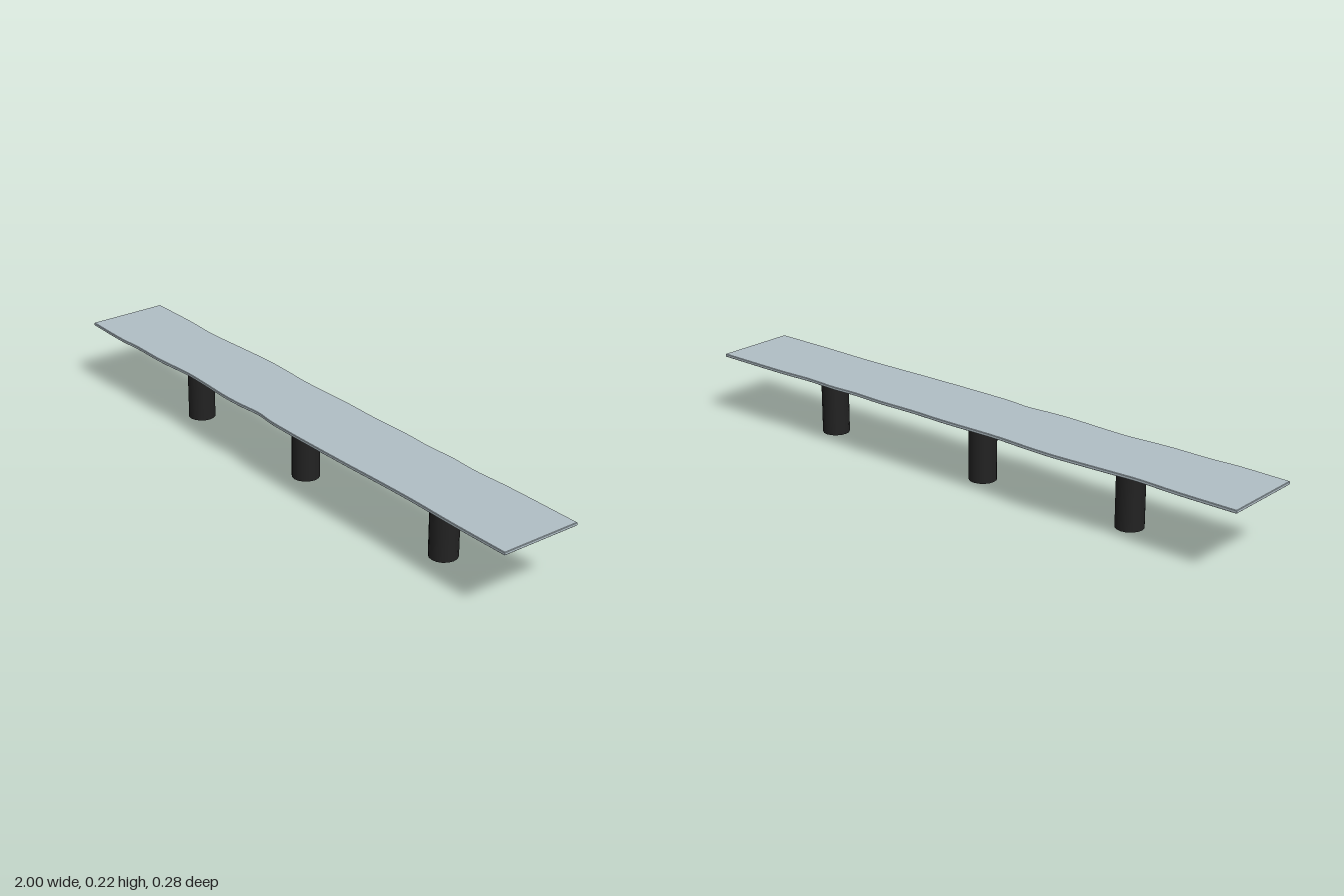
import * as THREE from 'three';

export function createModel() {
  const group = new THREE.Group();
  const topMat = new THREE.MeshStandardMaterial({ color: 0xb0bec5 });
  topMat.name = 'paleBlueGrey';
  const legMat = new THREE.MeshStandardMaterial({ color: 0x222222 });
  legMat.name = 'nearBlack';

  // Long slab with gently wavy edges; outline points are (x, -z)
  const frontEdge = [[-1, -0.133], [-0.82, -0.137], [-0.74, -0.132], [-0.6, -0.133], [-0.46, -0.124], [-0.36, -0.127],
    [-0.24, -0.133], [-0.16, -0.131], [-0.08, -0.125], [0, -0.133], [0.36, -0.133], [0.44, -0.131], [0.62, -0.129],
    [0.8, -0.133], [1, -0.133]];
  const backEdge = [[1, 0.133], [0.72, 0.133], [0.61, 0.128], [0.5, 0.133], [0.41, 0.129], [0.3, 0.133], [0.16, 0.13],
    [0.04, 0.133], [-0.17, 0.13], [-0.28, 0.136], [-0.38, 0.139], [-0.48, 0.135], [-0.58, 0.13], [-0.68, 0.126],
    [-0.8, 0.132], [-1, 0.133]];
  const smooth = (pts) => new THREE.CatmullRomCurve3(pts.map(([x, y]) => new THREE.Vector3(x, y, 0)), false, 'centripetal')
    .getPoints(48).map((p) => new THREE.Vector2(p.x, p.y));
  const bevel = 0.0015;
  const slab = new THREE.ExtrudeGeometry(new THREE.Shape([...smooth(frontEdge), ...smooth(backEdge)]), {
    depth: 0.01 - 2 * bevel, bevelThickness: bevel, bevelSize: bevel, bevelOffset: -bevel, bevelSegments: 1,
  });
  slab.rotateX(-Math.PI / 2);
  const top = new THREE.Mesh(slab, topMat);
  top.name = 'tabletop';
  top.position.y = 0.209 + bevel;
  group.add(top);

  // Three round legs, unevenly spaced
  const legHeight = 0.209;
  const legGeo = new THREE.CylinderGeometry(0.044, 0.044, legHeight, 16);
  [-0.56, -0.004, 0.628].forEach((x, i) => {
    const leg = new THREE.Mesh(legGeo, legMat);
    leg.name = `leg${i + 1}`;
    leg.position.set(x, legHeight / 2, 0.003);
    group.add(leg);
  });

  return group;
}
